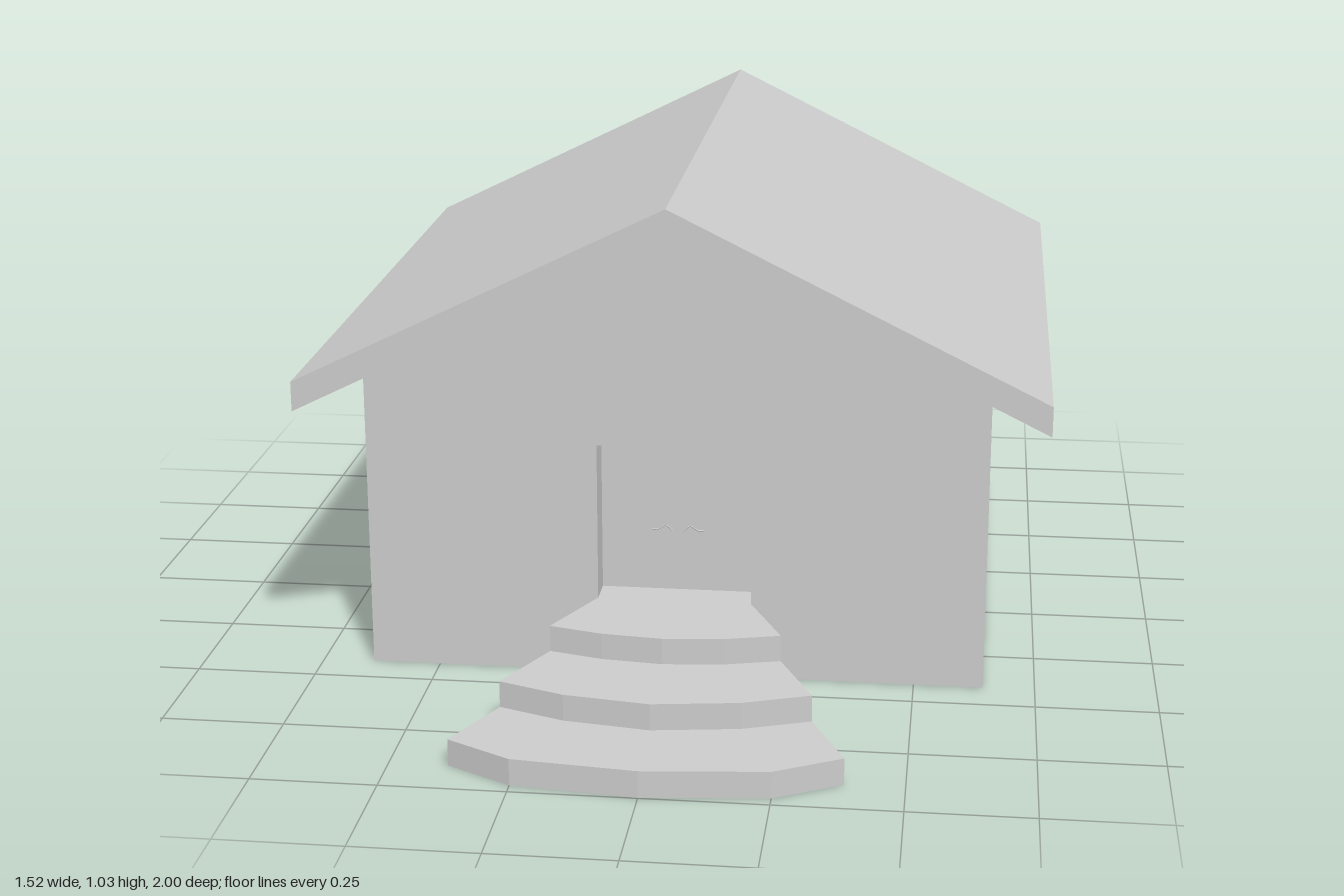
import * as THREE from 'three';

const material = new THREE.MeshStandardMaterial({ color: 0xcccccc, flatShading: true, side: THREE.DoubleSide });

function addMesh(parent, name, geometry) {
  const mesh = new THREE.Mesh(geometry, material);
  mesh.name = name;
  parent.add(mesh);
  return mesh;
}

// Flat-shaded surface from four-cornered faces
function quads(faces) {
  const pos = [];
  for (const [a, b, c, d] of faces) pos.push(...a, ...b, ...c, ...a, ...c, ...d);
  const g = new THREE.BufferGeometry();
  g.setAttribute('position', new THREE.Float32BufferAttribute(pos, 3));
  g.computeVertexNormals();
  return g;
}

const outline = (pts) => new THREE.Shape(pts.map(([x, y]) => new THREE.Vector2(x, y)));

export function createModel() {
  const house = new THREE.Group();
  house.name = 'house';

  const W = 0.643, EAVE = 0.653, APEX = 0.97, FRONT = 0.415, BACK = -0.87;
  const DW = 0.16, D0 = 0.165, D1 = 0.5; // doorway half width, sill and head

  // Gable walls, the front one with a doorway
  const gable = [[-W, 0], [W, 0], [W, EAVE], [0, APEX], [-W, EAVE]];
  const frontShape = outline(gable);
  frontShape.holes.push(new THREE.Path([[-DW, D0], [-DW, D1], [DW, D1], [DW, D0]].map(([x, y]) => new THREE.Vector2(x, y))));
  addMesh(house, 'frontWall', new THREE.ShapeGeometry(frontShape)).position.z = FRONT;
  const backWall = addMesh(house, 'backWall', new THREE.ShapeGeometry(outline(gable)));
  backWall.rotation.y = Math.PI;
  backWall.position.z = BACK;

  // Side walls
  for (const s of [1, -1]) {
    const wall = addMesh(house, s > 0 ? 'leftWall' : 'rightWall', new THREE.PlaneGeometry(FRONT - BACK, EAVE));
    wall.rotation.y = s * Math.PI / 2;
    wall.position.set(s * W, EAVE / 2, (FRONT + BACK) / 2);
  }

  // Roof: chevron section run along the ridge
  const roofShape = outline([[-0.76, 0.593], [0, APEX], [0.76, 0.593], [0.76, 0.655], [0, 1.03], [-0.76, 0.655]]);
  const roof = new THREE.ExtrudeGeometry(roofShape, { depth: 1.545, bevelEnabled: false });
  addMesh(house, 'roof', roof).position.z = -1;

  // Door box: lining, door leaf set back from the wall, and inner back panel
  const LEAF = 0.348, INNER = 0.135;
  const corners = [[-DW, D0], [DW, D0], [DW, D1], [-DW, D1]];
  addMesh(house, 'doorLining', quads(corners.map(([x, y], i) => {
    const [u, v] = corners[(i + 1) % 4];
    return [[x, y, FRONT], [u, v, FRONT], [u, v, INNER], [x, y, INNER]];
  })));
  for (const [name, z, turn] of [['doorLeaf', LEAF, 0], ['doorBack', INNER, Math.PI]]) {
    const panel = addMesh(house, name, new THREE.PlaneGeometry(DW * 2, D1 - D0));
    panel.position.set(0, (D0 + D1) / 2, z);
    panel.rotation.y = turn;
  }

  // Small wavy door handles
  for (const s of [1, -1]) {
    const curve = new THREE.CatmullRomCurve3(
      [[0.012, 0.297], [0.026, 0.307], [0.042, 0.298], [0.054, 0.298]].map(([x, y]) => new THREE.Vector3(s * x, y, LEAF + 0.001)));
    addMesh(house, s > 0 ? 'leftHandle' : 'rightHandle', new THREE.TubeGeometry(curve, 12, 0.0015, 5));
  }

  // Fan-shaped steps, hollow below: each arc is [half width, z at end, mid half width, z at mid, z at centre]
  const arcs = [
    [0.383, 0.9, 0.25, 0.973, 0.998],
    [0.31, 0.74, 0.175, 0.79, 0.816],
    [0.235, 0.578, 0.125, 0.607, 0.62],
    [0.16, FRONT, 0.08, FRONT, FRONT],
  ];
  const row = ([x, z, mx, mz, cz], y) => [[-x, y, z], [-mx, y, mz], [0, y, cz], [mx, y, mz], [x, y, z]];
  const strip = (a, b) => [0, 1, 2, 3].map((i) => [a[i], a[i + 1], b[i + 1], b[i]]);
  const steps = new THREE.Group();
  steps.name = 'steps';
  house.add(steps);
  for (let i = 0; i < 3; i++) {
    const y0 = i * 0.055, y1 = y0 + 0.055, next = arcs[i + 1];
    const top = row(arcs[i], y1);
    addMesh(steps, `riser${i + 1}`, quads(strip(row(arcs[i], y0), top)));
    addMesh(steps, `tread${i + 1}`, quads(strip(top, row(next, y1))));
    const [x, z] = arcs[i], [nx, nz] = next;
    addMesh(steps, `stepSides${i + 1}`, quads([
      [[x, 0, z], [nx, 0, nz], [nx, y1, nz], [x, y1, z]],
      [[-nx, 0, nz], [-x, 0, z], [-x, y1, z], [-nx, y1, nz]],
    ]));
  }

  return house;
}
